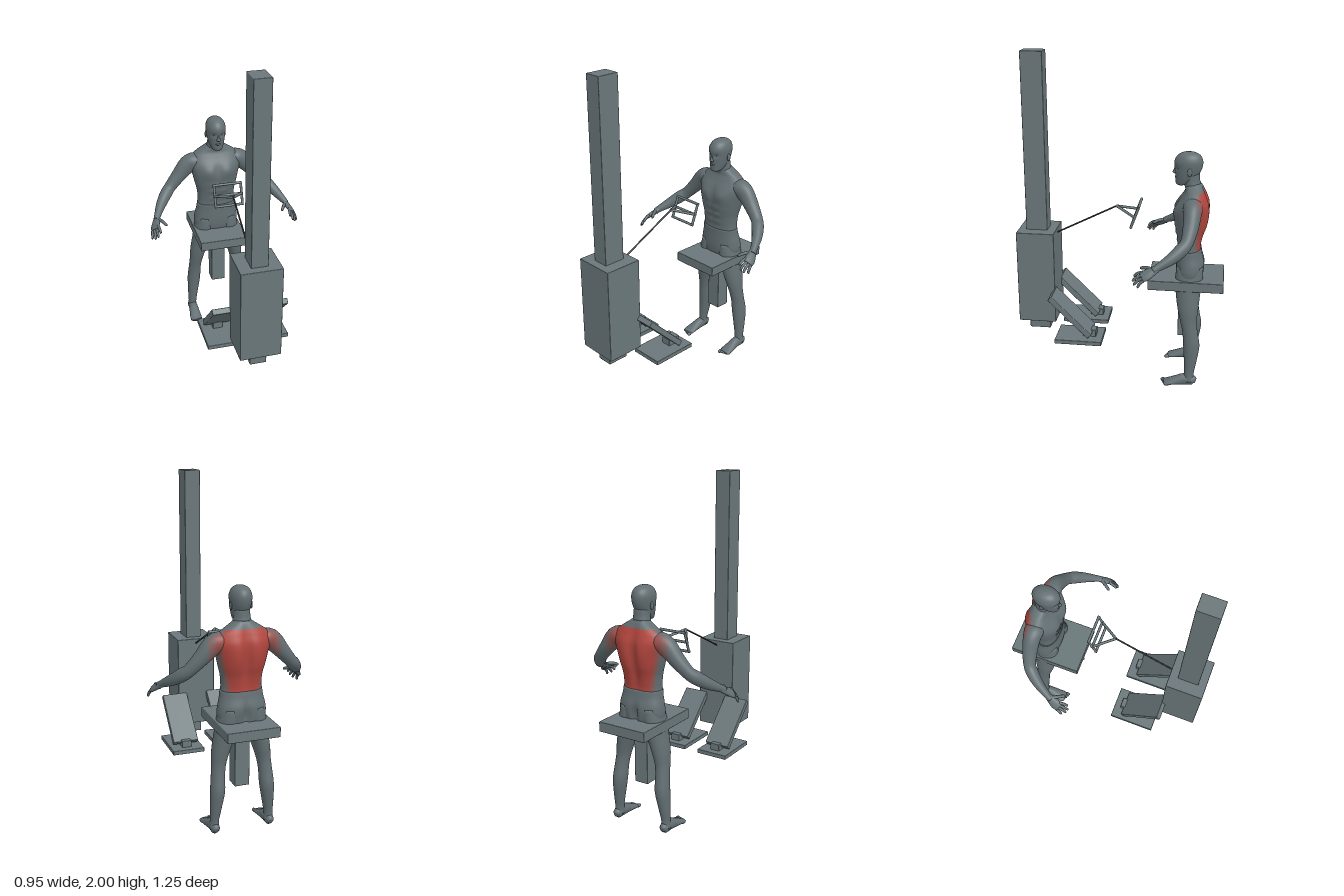
import * as THREE from 'three';
import { RoundedBoxGeometry } from 'three/addons/geometries/RoundedBoxGeometry.js';

const V = (x, y, z) => new THREE.Vector3(x, y, z);
const mat = (name, color) => Object.assign(new THREE.MeshStandardMaterial({ color }), { name });

// Closed smooth skin over elliptical rings [x, y, z, radiusU, radiusV].
// With "ref" rings turn with the path, otherwise they stay level (bottom to top).
function loft(rings, { n = 24, steps = 4, ref = null, power = 1, deform = null } = {}) {
  const centres = new THREE.CatmullRomCurve3(rings.map(r => V(r[0], r[1], r[2])), false, 'catmullrom', 0.5);
  const radii = new THREE.CatmullRomCurve3(rings.map(r => V(r[3], r[4], 0)), false, 'catmullrom', 0.5);
  const m = (rings.length - 1) * steps, pos = [], idx = [];
  const soft = c => Math.sign(c) * Math.abs(c) ** power;
  for (let i = 0; i <= m; i++) {
    const c = centres.getPoint(i / m), r = radii.getPoint(i / m);
    const t = ref ? centres.getTangent(i / m) : V(0, 1, 0);
    const u = (ref || V(1, 0, 0)).clone();
    u.addScaledVector(t, -u.dot(t)).normalize();
    const v = u.clone().cross(t);
    for (let j = 0; j < n; j++) {
      const a = j / n * Math.PI * 2;
      const p = c.clone().addScaledVector(u, Math.max(r.x, 0.001) * soft(Math.cos(a)))
        .addScaledVector(v, Math.max(r.y, 0.001) * soft(Math.sin(a)));
      if (deform) deform(p, c);
      pos.push(p.x, p.y, p.z);
      if (i < m) {
        const k = i * n + j, l = i * n + (j + 1) % n;
        idx.push(k, k + n, l, l, k + n, l + n);
      }
    }
  }
  const s = centres.getPoint(0), e = centres.getPoint(1), q = (m + 1) * n;
  pos.push(s.x, s.y, s.z, e.x, e.y, e.z);
  for (let j = 0; j < n; j++) {
    const l = (j + 1) % n;
    idx.push(q, j, l, q + 1, m * n + l, m * n + j);
  }
  const g = new THREE.BufferGeometry();
  g.setAttribute('position', new THREE.Float32BufferAttribute(pos, 3));
  g.setIndex(idx);
  g.computeVertexNormals();
  return g;
}

// Sort faces into groups: skin, faint, medium and strong highlight of the back.
function paintBack(g) {
  const p = g.attributes.position, ix = g.index.array, bins = [[], [], [], []];
  for (let i = 0; i < ix.length; i += 3) {
    const c = V(0, 0, 0);
    for (let k = 0; k < 3; k++) c.add(V(0, 0, 0).fromBufferAttribute(p, ix[i + k]));
    c.divideScalar(3);
    const depth = Math.min(1, Math.max(0, (-0.445 - c.z) / 0.035));
    const side = Math.min(1, 1.1 - Math.max(0, Math.abs(c.x) - 0.075) / 0.13);
    const level = c.y > 0.85 && c.y < 1.21 ? depth * side : 0;
    bins[level > 0.68 ? 3 : level > 0.32 ? 2 : level > 0.04 ? 1 : 0].push(ix[i], ix[i + 1], ix[i + 2]);
  }
  g.setIndex(bins.flat());
  let start = 0;
  bins.forEach((b, k) => { g.addGroup(start, b.length, k); start += b.length; });
  return g;
}

const bump = (d, w) => Math.exp(-((d / w) ** 2));

export function createModel() {
  const model = new THREE.Group();
  const metal = mat('machine grey', 0x6a777a), skin = mat('body grey', 0x626e72), cableMat = mat('cable dark', 0x33393c);
  const backMats = [skin, mat('faint red', 0x80605f), mat('medium red', 0x99534e), mat('strong red', 0xb2463e)];
  const add = (name, geo, m, parent = model) => {
    const mesh = new THREE.Mesh(geo, m);
    mesh.name = name;
    parent.add(mesh);
    return mesh;
  };
  // Box given by its limits on each axis
  const box = (name, x0, x1, y0, y1, z0, z1, parent) => {
    const mesh = add(name, new RoundedBoxGeometry(x1 - x0, y1 - y0, z1 - z0, 1, 0.004), metal, parent);
    mesh.position.set((x0 + x1) / 2, (y0 + y1) / 2, (z0 + z1) / 2);
    return mesh;
  };
  const rod = (name, a, b, r, m, parent) => {
    const mesh = add(name, new THREE.CylinderGeometry(r, r, a.distanceTo(b), 10), m, parent);
    mesh.position.copy(a).lerp(b, 0.5);
    mesh.quaternion.setFromUnitVectors(V(0, 1, 0), b.clone().sub(a).normalize());
  };
  const ball = (name, x, y, z, a, b, c, parent) => {
    const mesh = add(name, new THREE.SphereGeometry(1, 14, 10), skin, parent);
    mesh.position.set(x, y, z);
    mesh.scale.set(a, b, c);
  };

  // Machine: column, housing, seat and foot rests
  box('column', -0.05, 0.05, 0.27, 2, 0.447, 0.577);
  box('housing', -0.123, 0.123, 0.35, 0.93, 0.395, 0.625);
  box('seat', -0.155, 0.155, 0.617, 0.677, -0.625, -0.175);
  box('seatPost', -0.045, 0.045, 0.27, 0.62, -0.445, -0.355);
  for (const s of [-1, 1]) {
    const rest = new THREE.Group();
    rest.name = s > 0 ? 'leftFootRest' : 'rightFootRest';
    rest.position.x = s * 0.149;
    model.add(rest);
    box('basePlate', -0.102, 0.102, 0.27, 0.297, 0.093, 0.38, rest);
    box('bracket', -0.031, 0.031, 0.295, 0.34, 0.135, 0.217, rest);
    const plate = box('footPlate', -0.081, 0.081, 0.42, 0.455, 0.118, 0.458, rest);
    plate.rotation.x = -Math.PI / 4;
  }

  // Cable and row handle
  const apex = V(0, 1.087, 0.03);
  rod('cable', V(0, 0.9, 0.4), apex, 0.005, cableMat);
  const handle = new THREE.Group();
  handle.name = 'rowHandle';
  model.add(handle);
  const at = (x, t) => V(x, 0.985 + 0.123 * t, -0.066 - 0.045 * t);
  for (const s of [-1, 1]) {
    rod('sideBar', at(s * 0.084, 0), at(s * 0.084, 1), 0.008, metal, handle);
    rod('pullBar', apex, at(s * 0.084, 0.5), 0.008, metal, handle);
  }
  for (const t of [0, 0.5, 1]) rod('grip', at(-0.09, t), at(0.09, t), 0.008, metal, handle);

  // Torso with chest, belly and spine relief
  const body = new THREE.Group();
  body.name = 'body';
  model.add(body);
  const torso = loft([
    [0, 0.845, -0.41, 0.12, 0.07], [0, 0.88, -0.41, 0.118, 0.071], [0, 0.94, -0.411, 0.122, 0.08],
    [0, 1.0, -0.414, 0.136, 0.094], [0, 1.07, -0.418, 0.152, 0.1], [0, 1.13, -0.426, 0.166, 0.09],
    [0, 1.175, -0.432, 0.15, 0.07], [0, 1.205, -0.434, 0.115, 0.057], [0, 1.232, -0.43, 0.072, 0.05],
    [0, 1.25, -0.428, 0.045, 0.042]
  ], {
    n: 64, steps: 7, power: 0.88, deform: (p, c) => {
      const x = Math.abs(p.x);
      if (p.z < c.z) {
        const w = bump(p.y - 1.04, 0.14);
        p.z += 0.022 * bump(x, 0.022) * w - 0.01 * bump(x - 0.065, 0.04) * w;
      } else {
        const chest = bump(p.y - 1.095, 0.045), belly = bump(p.y - 0.95, 0.07);
        p.z += 0.014 * bump(x - 0.065, 0.045) * chest - 0.008 * bump(x, 0.012) * (chest + 0.6 * belly);
        p.z += 0.004 * Math.cos((p.y - 0.9) * 120) * bump(x - 0.03, 0.025) * belly;
      }
    }
  });
  add('torso', paintBack(torso), backMats, body);
  add('pelvis', loft([
    [0, 0.62, -0.42, 0.06, 0.05], [0, 0.66, -0.42, 0.125, 0.075], [0, 0.71, -0.42, 0.143, 0.084],
    [0, 0.76, -0.42, 0.139, 0.085], [0, 0.81, -0.414, 0.128, 0.077], [0, 0.852, -0.41, 0.123, 0.073]
  ], {
    n: 48, power: 0.9, deform: (p, c) => {
      if (p.z < c.z) p.z += 0.03 * bump(p.x, 0.015) * bump(p.y - 0.71, 0.06);
    }
  }), skin, body);
  add('neck', loft([
    [0, 1.16, -0.44, 0.075, 0.05], [0, 1.22, -0.425, 0.058, 0.05], [0, 1.26, -0.415, 0.049, 0.048],
    [0, 1.31, -0.41, 0.046, 0.048]
  ]), skin, body);

  // Head with eye sockets, nose, lips and ears
  add('head', loft([
    [0, 1.234, -0.348, 0.012, 0.012], [0, 1.243, -0.357, 0.032, 0.036], [0, 1.27, -0.375, 0.045, 0.057],
    [0, 1.30, -0.385, 0.053, 0.069], [0, 1.34, -0.392, 0.059, 0.08], [0, 1.38, -0.393, 0.061, 0.083],
    [0, 1.412, -0.395, 0.05, 0.068], [0, 1.43, -0.395, 0.029, 0.04], [0, 1.436, -0.395, 0.004, 0.005]
  ], {
    n: 40, steps: 5, deform: p => {
      if (p.z > -0.36) p.z -= 0.012 * bump(Math.abs(p.x) - 0.025, 0.013) * bump(p.y - 1.342, 0.011);
    }
  }), skin, body);
  add('nose', loft([
    [0, 1.303, -0.318, 0.006, 0.006], [0, 1.31, -0.315, 0.013, 0.015], [0, 1.325, -0.317, 0.008, 0.012],
    [0, 1.352, -0.318, 0.004, 0.004]
  ], { n: 12 }), skin, body);
  ball('lips', 0, 1.283, -0.323, 0.019, 0.007, 0.009, body);

  for (const s of [-1, 1]) {
    const side = s > 0 ? 'left' : 'right';
    const mirror = rings => rings.map(r => [s * r[0], ...r.slice(1)]);
    ball(side + 'Eye', s * 0.024, 1.342, -0.337, 0.01, 0.006, 0.009, body);
    ball(side + 'Ear', s * 0.06, 1.325, -0.402, 0.007, 0.024, 0.014, body);

    // Arm, palm and fingers
    add(side + 'Arm', paintBack(loft(mirror([
      [0.09, 1.145, -0.43, 0.035, 0.045], [0.135, 1.14, -0.43, 0.054, 0.058], [0.18, 1.115, -0.43, 0.057, 0.052],
      [0.24, 1.05, -0.424, 0.045, 0.045], [0.3, 0.985, -0.407, 0.037, 0.037], [0.335, 0.952, -0.377, 0.039, 0.037],
      [0.375, 0.913, -0.325, 0.033, 0.031], [0.415, 0.872, -0.252, 0.021, 0.02], [0.425, 0.858, -0.232, 0.021, 0.018]
    ]), { n: 28, steps: 6, ref: V(0, 1, 0) })), backMats, body);
    const across = V(s * -0.7, 0.65, 0.1);
    add(side + 'Palm', loft(mirror([
      [0.41, 0.876, -0.262, 0.019, 0.015], [0.427, 0.853, -0.222, 0.028, 0.016],
      [0.439, 0.837, -0.193, 0.034, 0.014], [0.447, 0.826, -0.168, 0.03, 0.009]
    ]), { n: 16, ref: across }), skin, body);
    const finger = (name, a, b, r) => {
      const mid = a.clone().lerp(b, 0.55).add(V(0, 0.005, 0.002)), end = a.clone().lerp(b, 0.93);
      add(name, loft(mirror([[...a, r, r], [...mid, r, r], [...end, r * 0.8, r * 0.8], [...b, 0.001, 0.001]]),
        { n: 10, ref: across }), skin, body);
    };
    for (let i = 0; i < 4; i++) {
      const k = i / 3, reach = 0.018 * Math.sin(k * Math.PI);
      finger(side + 'Finger', V(0.461, 0.812, -0.18).lerp(V(0.425, 0.85, -0.175), k),
        V(0.468, 0.773, -0.148).lerp(V(0.418, 0.82, -0.122), k).add(V(0, -reach / 2, reach)), 0.0085);
    }
    finger(side + 'Thumb', V(0.418, 0.867, -0.23), V(0.373, 0.852, -0.155), 0.01);

    // Leg, foot and toes
    add(side + 'Leg', loft(mirror([
      [0.168, 0.03, -0.44, 0.03, 0.033], [0.167, 0.075, -0.438, 0.026, 0.029], [0.161, 0.15, -0.443, 0.033, 0.037],
      [0.151, 0.26, -0.447, 0.042, 0.049], [0.145, 0.35, -0.436, 0.04, 0.046], [0.137, 0.42, -0.424, 0.042, 0.05],
      [0.122, 0.5, -0.418, 0.052, 0.063], [0.095, 0.6, -0.415, 0.062, 0.075], [0.08, 0.68, -0.418, 0.064, 0.082],
      [0.073, 0.75, -0.42, 0.055, 0.078]
    ]), { n: 28 }), skin, body);
    add(side + 'Foot', loft(mirror([
      [0.168, 0.026, -0.478, 0.012, 0.014], [0.168, 0.033, -0.462, 0.026, 0.031], [0.168, 0.037, -0.41, 0.029, 0.036],
      [0.17, 0.027, -0.36, 0.034, 0.027], [0.172, 0.016, -0.31, 0.039, 0.016], [0.173, 0.012, -0.286, 0.034, 0.011]
    ]), { n: 20, ref: V(1, 0, 0) }), skin, body);
    for (let i = 0; i < 5; i++)
      ball(side + 'Toe', s * (0.144 + i * 0.0145), 0.011, -0.28 - i * 0.006, i ? 0.008 : 0.011, i ? 0.009 : 0.011, 0.018, body);
  }
  return model;
}
